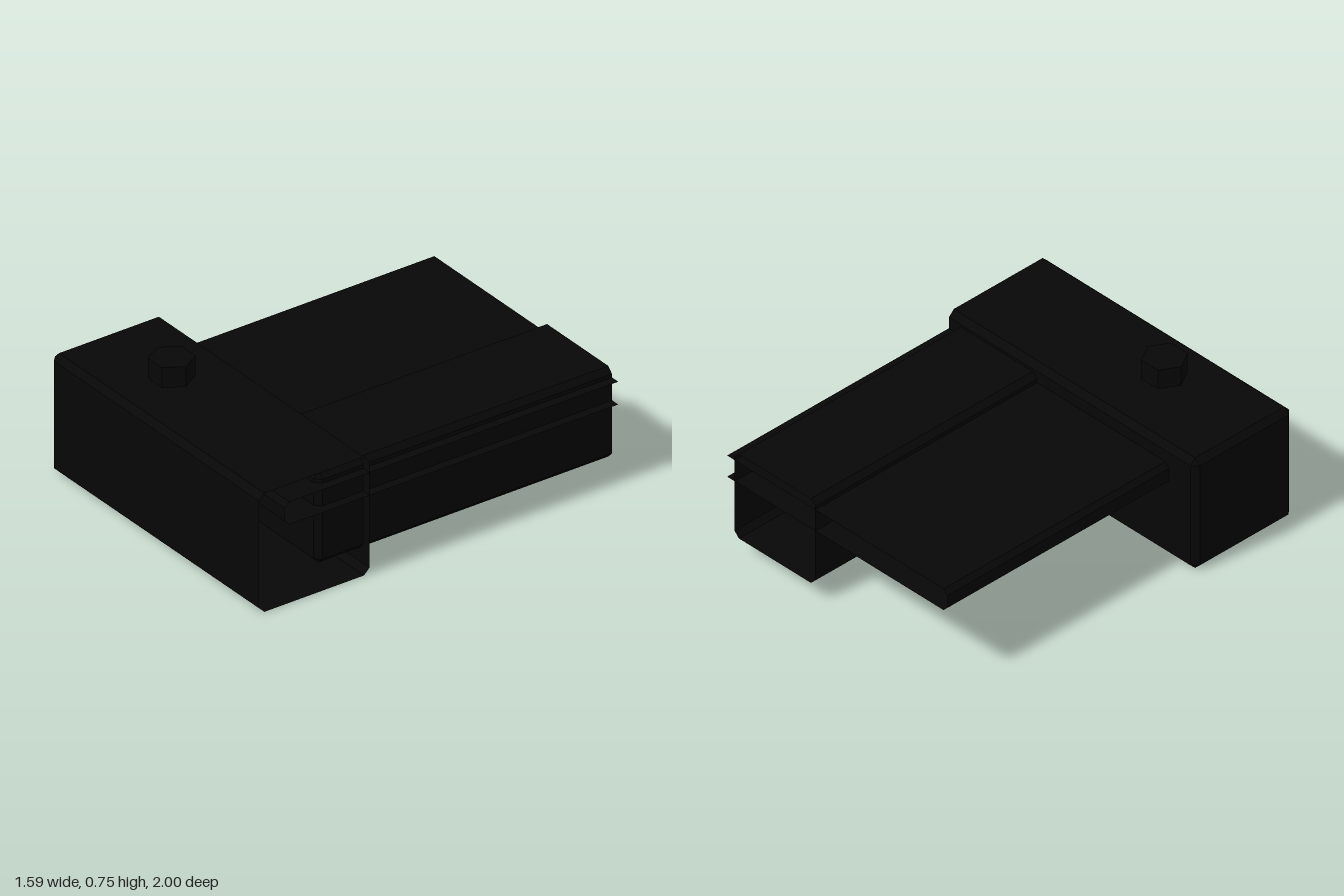
import * as THREE from 'three';

const black = new THREE.MeshStandardMaterial({ color: 0x070707, side: THREE.DoubleSide, flatShading: true });
black.name = 'matte black';

// Outline of a rectangle with chamfered corners; its first six points leave the u0 side open
function outline(u0, u1, y0, y1, c) {
  return [[u0 + c, y0], [u1 - c, y0], [u1, y0 + c], [u1, y1 - c],
    [u1 - c, y1], [u0 + c, y1], [u0, y1 - c], [u0, y0 + c]];
}

// Chamfered shell from a capped end to an open end; place(u, y, s) gives [x, y, z].
// With sideOpen the u0 side is left open as well.
function shell(u0, u1, y0, y1, c, capped, open, place, sideOpen = false) {
  const n = sideOpen ? 6 : 8;
  const inset = outline(u0 + c, u1 - c, y0 + c, y1 - c, 0).slice(0, n);
  const full = outline(u0, u1, y0, y1, c).slice(0, n);
  const step = Math.sign(open - capped) * c;
  const points = [[inset, capped], [full, capped + step], [full, open]]
    .flatMap(([ring, s]) => ring.map(([u, y]) => place(u, y, s)));

  const index = [];
  for (let r = 0; r < 2; r++) {
    for (let i = 0; i < (sideOpen ? n - 1 : n); i++) {
      const a = r * n + i, b = r * n + (i + 1) % n;
      index.push(a, a + n, b + n, a, b + n, b);
    }
  }
  for (let i = 1; i < n - 1; i++) index.push(0, i, i + 1);

  const g = new THREE.BufferGeometry();
  g.setAttribute('position', new THREE.Float32BufferAttribute(points.flat(), 3));
  g.setIndex(index);
  const flat = g.toNonIndexed();
  flat.computeVertexNormals();
  return flat;
}

export function createModel() {
  const model = new THREE.Group();
  const add = (name, geometry) => {
    const mesh = new THREE.Mesh(geometry, black);
    mesh.name = name;
    model.add(mesh);
    return mesh;
  };
  const alongX = (u, y, s) => [s, y, u];
  const alongZ = (u, y, s) => [u, y, s];

  // Wide front housing, open at its left end
  add('frontHousing', shell(0.385, 1, 0, 0.615, 0.03, -0.797, 0.795, alongX));

  // Long hollow box running back from inside the housing, open at the rear
  add('rearBox', shell(0.225, 0.747, 0.1, 0.57, 0.028, 0.64, -1, alongZ));

  // Flat hollow plate passing through box and housing, open at its left end and rear
  add('flatPlate', shell(-1.025, 0.855, 0.405, 0.523, 0.025, -0.63, 0.795, alongX, true));

  // Six-sided button floating just above the housing
  const button = add('topButton', new THREE.CylinderGeometry(0.108, 0.108, 0.105, 6).rotateY(Math.PI / 2));
  button.position.set(-0.252, 0.698, 0.72);

  return model;
}
